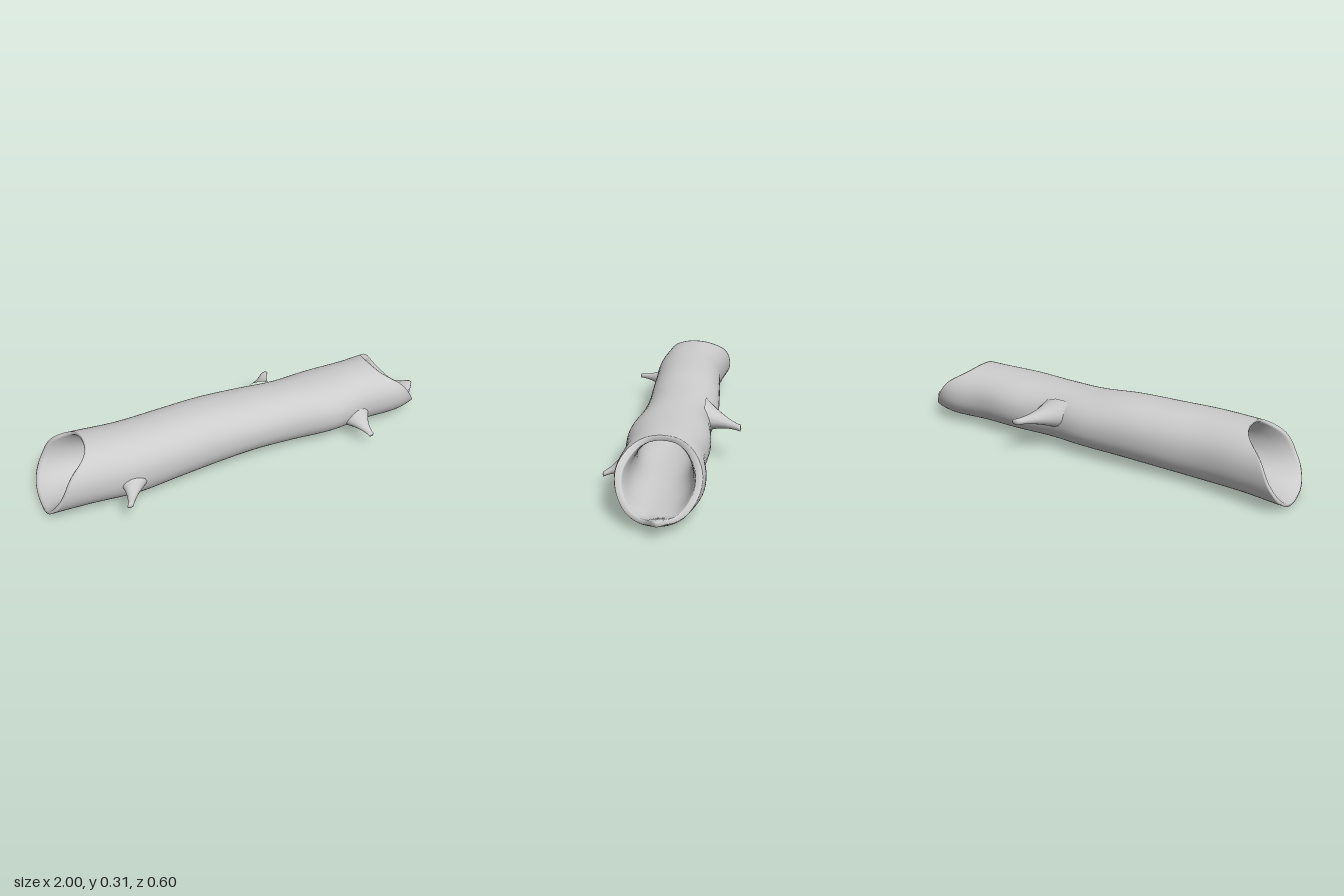
import * as THREE from 'three';
import { mergeVertices } from 'three/addons/utils/BufferGeometryUtils.js';

const material = new THREE.MeshStandardMaterial({ color: 0xcccccc, roughness: 0.9 });

// Smooth interpolation through evenly spaced samples, t in 0..1
function sample(values, t) {
  const n = values.length - 1;
  const p = THREE.MathUtils.clamp(t, 0, 1) * n;
  const i = Math.min(Math.floor(p), n - 1), f = p - i;
  const a = values[Math.max(i - 1, 0)], b = values[i], c = values[i + 1], d = values[Math.min(i + 2, n)];
  return b + 0.5 * f * (c - a + f * (2 * a - 5 * b + 4 * c - d + f * (3 * (b - c) + d - a)));
}

// Grid surface from point(i, j)
function surface(rows, cols, point) {
  const positions = [], index = [];
  for (let i = 0; i <= rows; i++) {
    for (let j = 0; j <= cols; j++) positions.push(...point(i, j));
  }
  const w = cols + 1;
  for (let i = 0; i < rows; i++) {
    for (let j = 0; j < cols; j++) {
      const a = i * w + j, b = a + w;
      index.push(a, b, b + 1, a, b + 1, a + 1);
    }
  }
  let geometry = new THREE.BufferGeometry();
  geometry.setAttribute('position', new THREE.Float32BufferAttribute(positions, 3));
  geometry.setIndex(index);
  geometry = mergeVertices(geometry, 1e-5);
  geometry.computeVertexNormals();
  return geometry;
}

// Trunk outline sampled from x = -1 to x = 1
const TOP = [0.31, 0.316, 0.316, 0.315, 0.313, 0.296, 0.293, 0.293, 0.296, 0.293, 0.28];
const BOTTOM = [0.01, 0.011, 0.004, 0.012, 0.02, 0.025, 0.02, 0.018, 0.016, 0.014, 0.02];
const BACK = [-0.205, -0.18, -0.16, -0.168, -0.177, -0.182, -0.16, -0.175, -0.166, -0.18, -0.12];
const FRONT = [0.155, 0.168, 0.182, 0.172, 0.162, 0.155, 0.16, 0.184, 0.166, 0.17, 0.11];
// Slanted cuts: x of each end from the bottom to the top of the section
const LEFT_CUT = [-1, -0.97, -0.925, -0.875, -0.78];
const RIGHT_CUT = [0.945, 0.905, 0.85, 0.79, 0.69];

// Point on the trunk: s along the length, angle around it, inner or outer wall
function trunkPoint(s, angle, inner) {
  const c = Math.cos(angle), sn = Math.sin(angle);
  const square = (v) => Math.sign(v) * Math.abs(v) ** 0.92;
  const h = (sn + 1) / 2;
  const x0 = sample(LEFT_CUT, h);
  // a narrow splinter stands out of the lower lip
  const splinter = sn < 0 ? Math.exp(-(((c + 0.12) / 0.3) ** 2)) * 0.055 : 0;
  const x1 = sample(RIGHT_CUT, h) + splinter;
  const x = THREE.MathUtils.lerp(x0, x1, s);
  const t = (x + 1) / 2;
  const top = sample(TOP, t), bottom = sample(BOTTOM, t);
  const back = sample(BACK, t), front = sample(FRONT, t);
  let k = 1;
  if (inner) {
    k = 0.68 + 0.24 * Math.exp(-(x - x0) / 0.1) + 0.17 * Math.exp(-(x1 - x) / 0.06);
  }
  let y = (top + bottom) / 2 + square(sn) * k * (top - bottom) / 2;
  const z = (front + back) / 2 + square(c) * k * (front - back) / 2;
  if (sn < 0) y += 0.04 * THREE.MathUtils.smoothstep(x, 0.9, 1);
  return [x, y, z];
}

function buildTrunk() {
  const outer = 70, innerRows = 50, around = 56;
  const rows = outer + innerRows + 2;
  const ease = (s) => s + 0.1 * Math.sin(2 * Math.PI * s) * -1;
  return surface(rows, around, (i, j) => {
    const angle = ((j % around) / around) * Math.PI * 2;
    const r = i % rows;
    if (r <= outer) return trunkPoint(ease(r / outer), angle, false);
    return trunkPoint(ease(1 - (r - outer - 1) / innerRows), angle, true);
  });
}

// Flared broken branch with a blunt tip
function buildBranch({ base, tip, baseSize, tipSize, bend = 0 }) {
  const around = 14, steps = 12;
  const dir = Math.sign(tip[2] - base[2]);
  return surface(around, steps + 1, (i, j) => {
    const angle = ((i % around) / around) * Math.PI * 2;
    const t = Math.min(j / steps, 1);
    const flare = (1 - t) ** 1.8;
    const cap = j > steps ? 0 : 1;
    const size = (n) => cap * (tipSize[n] + (baseSize[n] - tipSize[n]) * flare);
    const at = (n) => THREE.MathUtils.lerp(base[n], tip[n], t);
    return [
      at(0) + Math.cos(angle) * size(0) * dir,
      at(1) + Math.sin(angle) * size(1) + bend * Math.sin(Math.PI * t),
      at(2) + (cap ? 0 : dir * 0.004),
    ];
  });
}

const BRANCHES = [
  { name: 'frontRightBranch', base: [-0.60, 0.14, 0.145], tip: [-0.68, 0.13, 0.293],
    baseSize: [0.08, 0.05], tipSize: [0.014, 0.011] },
  { name: 'frontLeftBranch', base: [0.525, 0.14, 0.135], tip: [0.56, 0.065, 0.262],
    baseSize: [0.10, 0.075], tipSize: [0.014, 0.011], bend: -0.005 },
  { name: 'backBranch', base: [0.12, 0.19, -0.13], tip: [0.257, 0.178, -0.295],
    baseSize: [0.11, 0.075], tipSize: [0.021, 0.014] },
];

export function createModel() {
  const log = new THREE.Group();
  log.name = 'hollowLog';
  const add = (name, geometry) => {
    const mesh = new THREE.Mesh(geometry, material);
    mesh.name = name;
    log.add(mesh);
  };
  add('trunk', buildTrunk());
  for (const branch of BRANCHES) add(branch.name, buildBranch(branch));
  return log;
}
